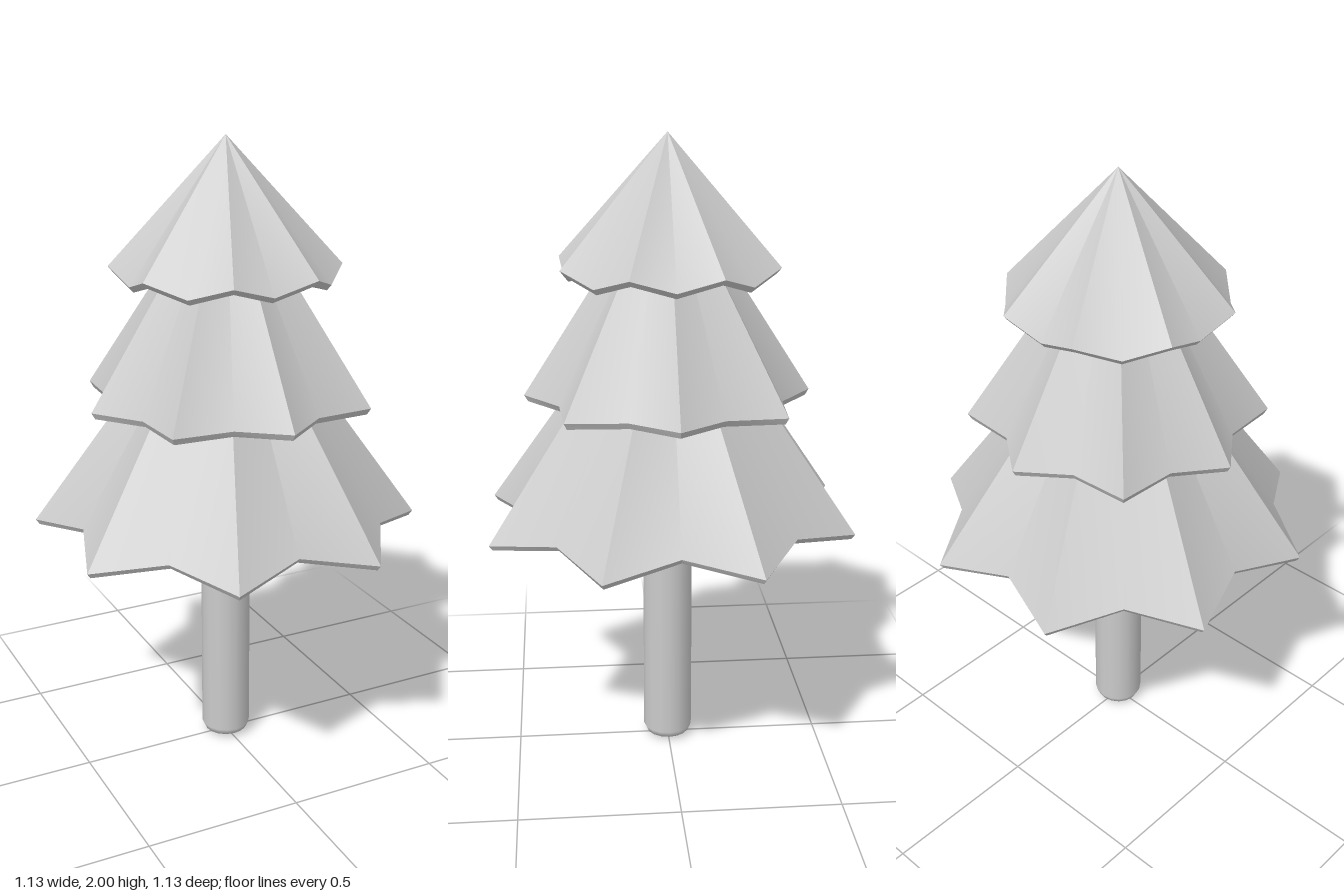
import * as THREE from 'three';
import { toCreasedNormals } from 'three/addons/utils/BufferGeometryUtils.js';

const material = new THREE.MeshStandardMaterial({ color: 0xcccccc, side: THREE.DoubleSide });
const SIDES = 16;

// One star-shaped skirt of branches: sloping top, thin bevelled lip, shallow hollow underside.
// rim holds [radius, y] for the axis, in-between, diagonal and in-between points.
function branchTier(name, apexY, underY, rim, lipHeight, lipInset) {
  const point = (i, inset, drop) => {
    const [r, y] = rim[i % 4];
    const a = (i / SIDES) * Math.PI * 2;
    return [(r - inset) * Math.sin(a), y - drop, (r - inset) * Math.cos(a)];
  };
  const apex = [0, apexY, 0];
  const under = [0, underY, 0];
  const positions = [];
  const tri = (a, b, c) => positions.push(...a, ...b, ...c);
  for (let i = 0; i < SIDES; i++) {
    const a = point(i, 0, 0), b = point(i + 1, 0, 0);
    const c = point(i, lipInset, lipHeight), d = point(i + 1, lipInset, lipHeight);
    tri(apex, a, b);
    tri(a, c, d);
    tri(a, d, b);
    tri(under, d, c);
  }
  const geometry = new THREE.BufferGeometry();
  geometry.setAttribute('position', new THREE.Float32BufferAttribute(positions, 3));
  const mesh = new THREE.Mesh(toCreasedNormals(geometry, 0.6), material);
  mesh.name = name;
  return mesh;
}

export function createModel() {
  const tree = new THREE.Group();
  tree.name = 'tree';

  // Trunk with a rounded foot
  const profile = [[0, 0], [0.05, 0.005], [0.07, 0.014], [0.08, 0.035], [0.08, 0.98]]
    .map(([r, y]) => new THREE.Vector2(r, y));
  const trunk = new THREE.Mesh(new THREE.LatheGeometry(profile, 16), material);
  trunk.name = 'trunk';
  tree.add(trunk);

  // Lower skirt: tips droop between the axes
  const lowTip = [0.613, 0.79];
  tree.add(branchTier('lowerBranches', 1.64, 0.95,
    [[0.49, 0.83], lowTip, [0.51, 0.83], lowTip], 0.016, 0.012));

  // Middle skirt: level rim, tips on the axes and diagonals
  const midValley = [0.37, 1.2];
  tree.add(branchTier('middleBranches', 1.9, 1.22,
    [[0.45, 1.2], midValley, [0.467, 1.2], midValley], 0.02, 0.012));

  // Top cone: raised tips with lower points between
  const topTip = [0.358, 1.612];
  tree.add(branchTier('topBranches', 2, 1.6,
    [[0.318, 1.572], topTip, [0.333, 1.572], topTip], 0.017, 0.014));

  return tree;
}
